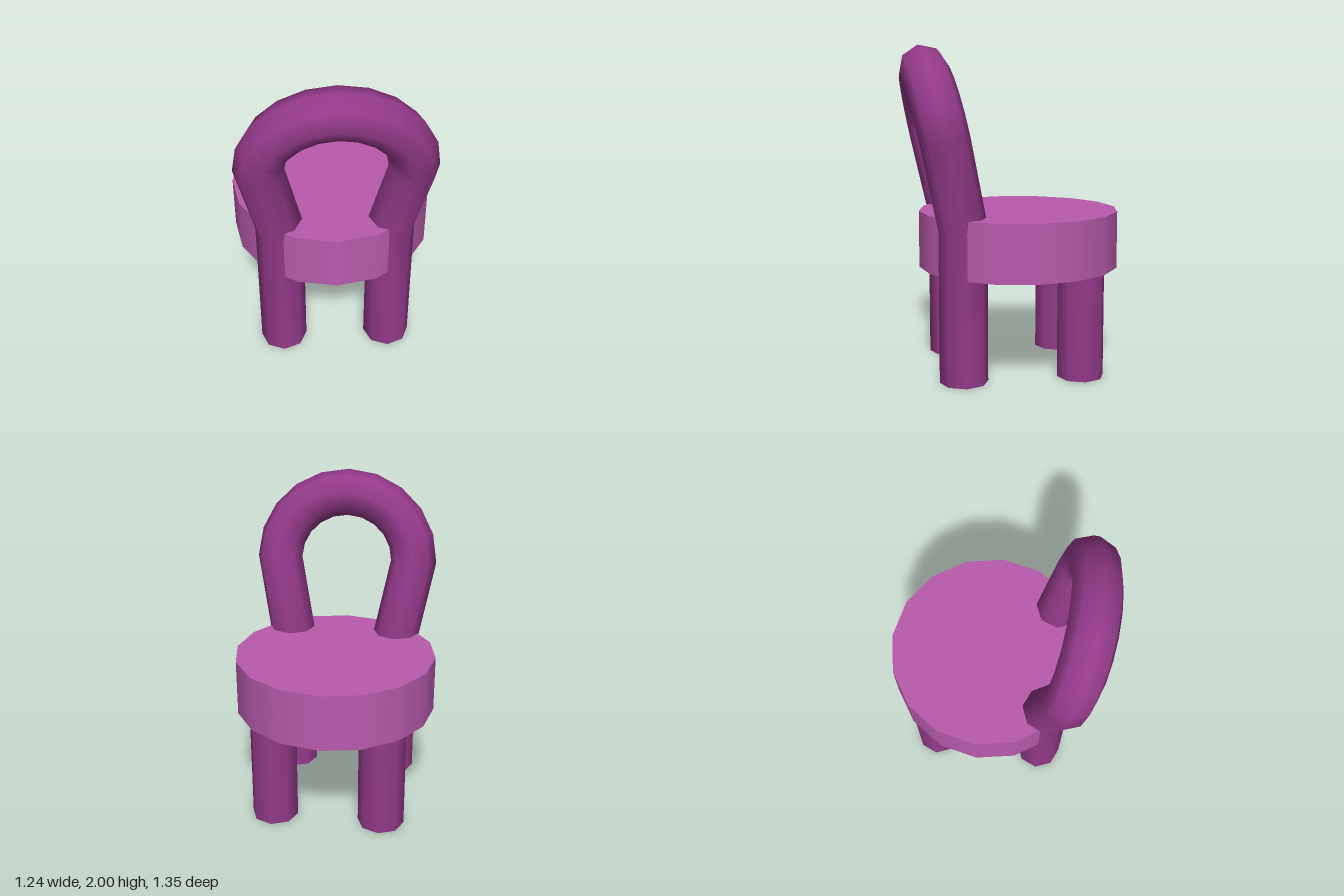
import * as THREE from 'three';

const SIDES = 8;
const LEAN = 0.21; // backward lean of the hoop, angle in radians

// Smooth open pipe swept along a list of points
function sweep(path, radius) {
  const pos = [], idx = [];
  const planeNormal = new THREE.Vector3(0, -Math.sin(LEAN), Math.cos(LEAN));
  path.forEach((p, i) => {
    const toPrev = p.clone().sub(path[Math.max(i - 1, 0)]).normalize();
    const toNext = path[Math.min(i + 1, path.length - 1)].clone().sub(p).normalize();
    const t = toPrev.add(toNext).normalize();
    const b = planeNormal.clone().addScaledVector(t, -planeNormal.dot(t)).normalize();
    const n = new THREE.Vector3().crossVectors(b, t);
    for (let k = 0; k < SIDES; k++) {
      const a = (k / SIDES) * Math.PI * 2;
      const v = p.clone().addScaledVector(n, radius * Math.cos(a)).addScaledVector(b, radius * Math.sin(a));
      pos.push(v.x, v.y, v.z);
    }
  });
  for (let i = 0; i < path.length - 1; i++) {
    for (let k = 0; k < SIDES; k++) {
      const a = i * SIDES + k, b = i * SIDES + (k + 1) % SIDES;
      const c = a + SIDES, d = b + SIDES;
      idx.push(a, c, b, b, c, d);
    }
  }
  // n x b = -t, so this order already winds around the sweep direction
  const g = new THREE.BufferGeometry();
  g.setAttribute('position', new THREE.Float32BufferAttribute(pos, 3));
  // choose the winding that faces outward
  const p0 = new THREE.Vector3().fromArray(pos, idx[0] * 3);
  const p1 = new THREE.Vector3().fromArray(pos, idx[1] * 3);
  const p2 = new THREE.Vector3().fromArray(pos, idx[2] * 3);
  const face = p1.sub(p0).cross(p2.sub(p0));
  if (face.dot(p0.clone().sub(path[0])) < 0) idx.reverse();
  g.setIndex(idx);
  g.computeVertexNormals();
  return g;
}

export function createModel() {
  const model = new THREE.Group();
  model.name = 'chair';

  const frameMat = new THREE.MeshStandardMaterial({ color: 0x943a8a, side: THREE.DoubleSide });
  frameMat.name = 'dark purple frame';
  const seatMat = new THREE.MeshStandardMaterial({ color: 0xb95bae, side: THREE.DoubleSide });
  seatMat.name = 'light purple seat';

  const add = (name, geometry, material, x = 0, y = 0, z = 0) => {
    const mesh = new THREE.Mesh(geometry, material);
    mesh.name = name;
    mesh.position.set(x, y, z);
    model.add(mesh);
    return mesh;
  };

  // Seat: round top with a hanging rim, open underneath
  const seatR = 0.622, seatTop = 0.99, seatBottom = 0.64, seatZ = -0.048;
  add('seatRim', new THREE.CylinderGeometry(seatR, seatR, seatTop - seatBottom, 16, 1, true),
    seatMat, 0, (seatTop + seatBottom) / 2, seatZ);
  const top = new THREE.CircleGeometry(seatR, 16);
  top.rotateX(-Math.PI / 2);
  add('seatTop', top, seatMat, 0, seatTop, seatZ);

  // Hoop: one pipe forms two legs and the leaning arched backrest
  const legX = 0.335, legZ = 0.34, bendY = 0.93, archY = 1.44;
  const lean = (x, y) => new THREE.Vector3(x, y, legZ + (y - bendY) * Math.tan(LEAN));
  const path = [new THREE.Vector3(legX, 0, legZ), new THREE.Vector3(legX, bendY, legZ)];
  for (let i = 0; i <= 10; i++) {
    const a = (i / 10) * Math.PI;
    path.push(lean(0.437 * Math.cos(a), archY + 0.417 * Math.sin(a)));
  }
  path.push(new THREE.Vector3(-legX, bendY, legZ), new THREE.Vector3(-legX, 0, legZ));
  add('backrestHoop', sweep(path, 0.146), frameMat);

  // Two plain legs on the other side, open tubes
  for (const s of [1, -1]) {
    add(s > 0 ? 'leftLeg' : 'rightLeg',
      new THREE.CylinderGeometry(0.144, 0.144, 0.98, SIDES, 1, true), frameMat, s * legX, 0.49, -0.373);
  }
  return model;
}
